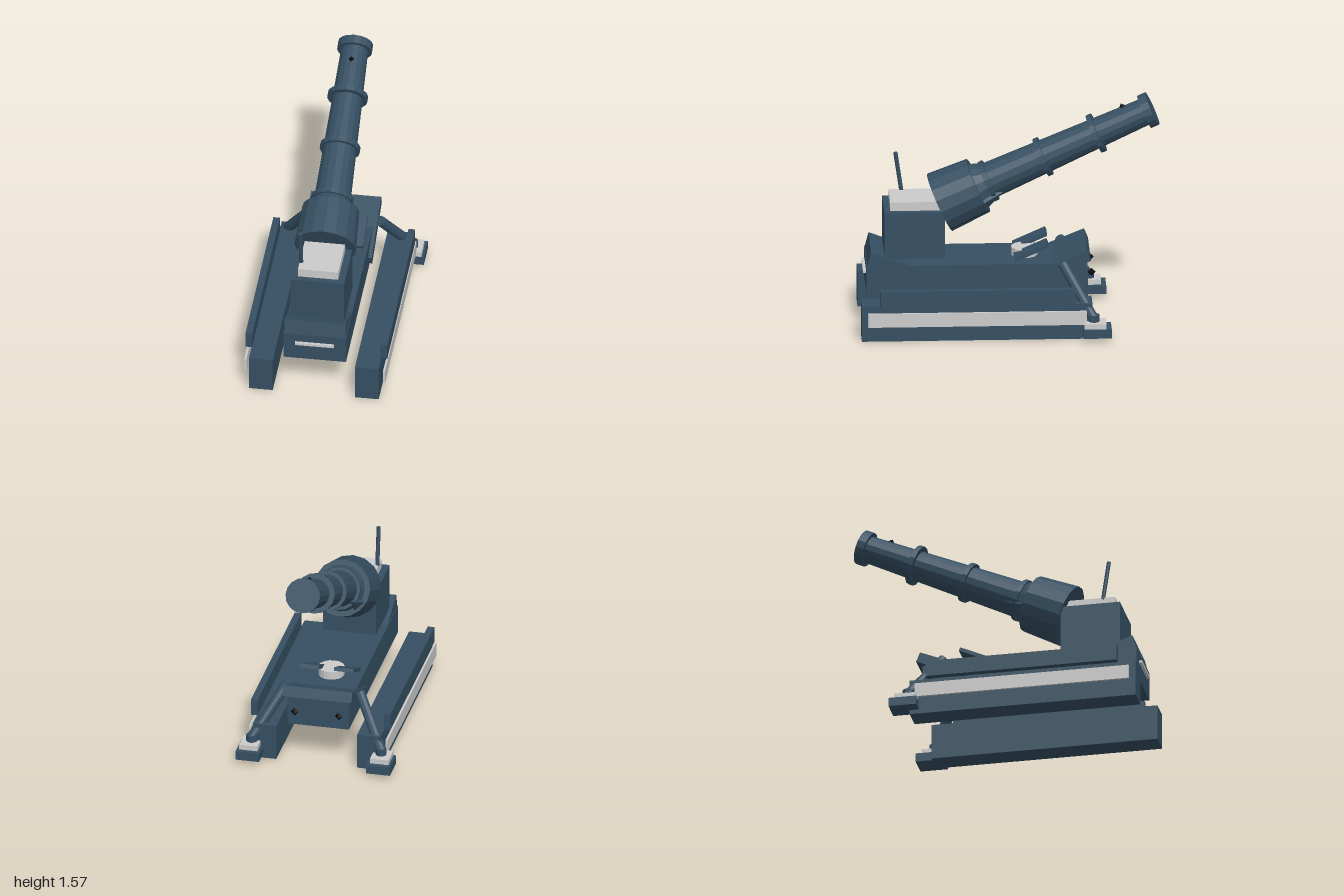
import * as THREE from 'three';

const mat = (color) => new THREE.MeshStandardMaterial({ color, flatShading: true });
const steel = mat(0x354f62), grey = mat(0xcccccc), black = mat(0x0a0a0a);

export function createModel() {
  const root = new THREE.Group();

  const add = (name, geo, material, parent = root) => {
    const m = new THREE.Mesh(geo, material);
    m.name = name;
    parent.add(m);
    return m;
  };
  // Box given by its limits on each axis
  const box = (name, material, [x0, x1], [y0, y1], [z0, z1]) => {
    const m = add(name, new THREE.BoxGeometry(x1 - x0, y1 - y0, z1 - z0), material);
    m.position.set((x0 + x1) / 2, (y0 + y1) / 2, (z0 + z1) / 2);
    return m;
  };
  // Box tilted about x, rising toward the rear
  const slab = (name, w, h, d, x, y, z, tilt) => {
    const m = add(name, new THREE.BoxGeometry(w, h, d), steel);
    m.position.set(x, y, z);
    m.rotation.x = tilt;
    return m;
  };
  // Cylinder between two points
  const rod = (name, a, b, r, sides, material = steel) => {
    const p = new THREE.Vector3(...a), q = new THREE.Vector3(...b);
    const dir = q.clone().sub(p);
    const m = add(name, new THREE.CylinderGeometry(r, r, dir.length(), sides), material);
    m.position.copy(p).add(q).multiplyScalar(0.5);
    m.quaternion.setFromUnitVectors(new THREE.Vector3(0, 1, 0), dir.normalize());
    return m;
  };

  // Hull and its front wedge
  box('hull', steel, [-0.21, 0.21], [0.255, 0.45], [-0.49, 0.96]);
  const wedge = new THREE.Shape([[-0.955, 0.448], [-0.67, 0.448], [-0.93, 0.545]]
    .map(([x, y]) => new THREE.Vector2(x, y)));
  const wedgeGeo = new THREE.ExtrudeGeometry(wedge, { depth: 0.41, bevelEnabled: false });
  wedgeGeo.translate(0, 0, -0.205).rotateY(Math.PI / 2);
  add('frontWedge', wedgeGeo, steel);
  box('frontLightBar', grey, [-0.13, 0.13], [0.375, 0.392], [0.95, 0.98]);

  // Rear deck: tilted plate, round hatch and its two flaps
  slab('rearPlate', 0.47, 0.07, 0.475, 0, 0.418, -0.295, 0.39);
  const hatch = add('deckHatch', new THREE.CylinderGeometry(0.088, 0.088, 0.07, 16), grey);
  hatch.position.set(0, 0.47, -0.095);

  // Turret block, roof plate and antenna
  box('turretBlock', steel, [-0.18, 0.18], [0.49, 0.81], [0.44, 0.84]);
  box('roofPlate', grey, [-0.135, 0.135], [0.81, 0.87], [0.46, 0.8]);
  rod('antenna', [-0.125, 0.86, 0.715], [-0.125, 1.132, 0.755], 0.014, 8);

  // Paired parts
  for (const s of [1, -1]) {
    const span = (a, b) => (s > 0 ? [a, b] : [-b, -a]);
    box('track', steel, span(0.275, 0.435), [0, 0.245], [-0.53, 1]);
    box('trackRail', steel, span(0.43, 0.475), [0.25, 0.36], [-0.415, 0.88]);
    box('trackPanel', grey, span(0.458, 0.472), [0.11, 0.205], [-0.49, 0.96]);
    slab('hatchFlap', 0.13, 0.025, 0.24, s * 0.117, 0.517, -0.135, 0.42);
    rod('outriggerLeg', [s * 0.25, 0.465, -0.34], [s * 0.445, 0.14, -0.54], 0.035, 10);
    rod('outriggerAnkle', [s * 0.44, 0.115, -0.54], [s * 0.44, 0.17, -0.54], 0.037, 10);
    box('outriggerFoot', steel, span(0.365, 0.525), [0.03, 0.09], [-0.655, -0.47]);
    box('footPad', grey, span(0.383, 0.508), [0.09, 0.125], [-0.62, -0.475]);
    const lamp = add('rearLamp', new THREE.OctahedronGeometry(0.028), black);
    lamp.position.set(s * 0.15, 0.37, -0.535);
  }

  // Gun, built along its own y axis and tipped back
  const gun = new THREE.Group();
  gun.name = 'gun';
  gun.position.set(0, 0.82, 0.465);
  gun.rotation.x = -1.145;
  root.add(gun);
  const section = (name, y0, y1, r0, r1, sides = 16) => {
    const m = add(name, new THREE.CylinderGeometry(r1, r0, y1 - y0, sides), steel, gun);
    m.position.y = (y0 + y1) / 2;
  };
  section('breech', 0, 0.28, 0.208, 0.192);
  section('mantlet', 0.27, 0.34, 0.16, 0.13);
  section('barrel', 0.2, 1.52, 0.127, 0.09);
  section('breechRing', 0.34, 0.37, 0.143, 0.143);
  section('middleRing', 0.735, 0.768, 0.135, 0.135);
  section('upperRing', 1.123, 1.157, 0.135, 0.135);
  section('muzzleRing', 1.49, 1.548, 0.117, 0.117);

  // Pointed braces on the breech sides
  for (const s of [1, -1]) {
    const brace = add('breechBrace', new THREE.ConeGeometry(0.065, 0.16, 4), steel, gun);
    brace.position.set(s * 0.1, 0.345, -0.08);
  }
  const sight = add('sight', new THREE.OctahedronGeometry(0.02), black, gun);
  sight.position.set(0, 1.373, 0.1);

  return root;
}
